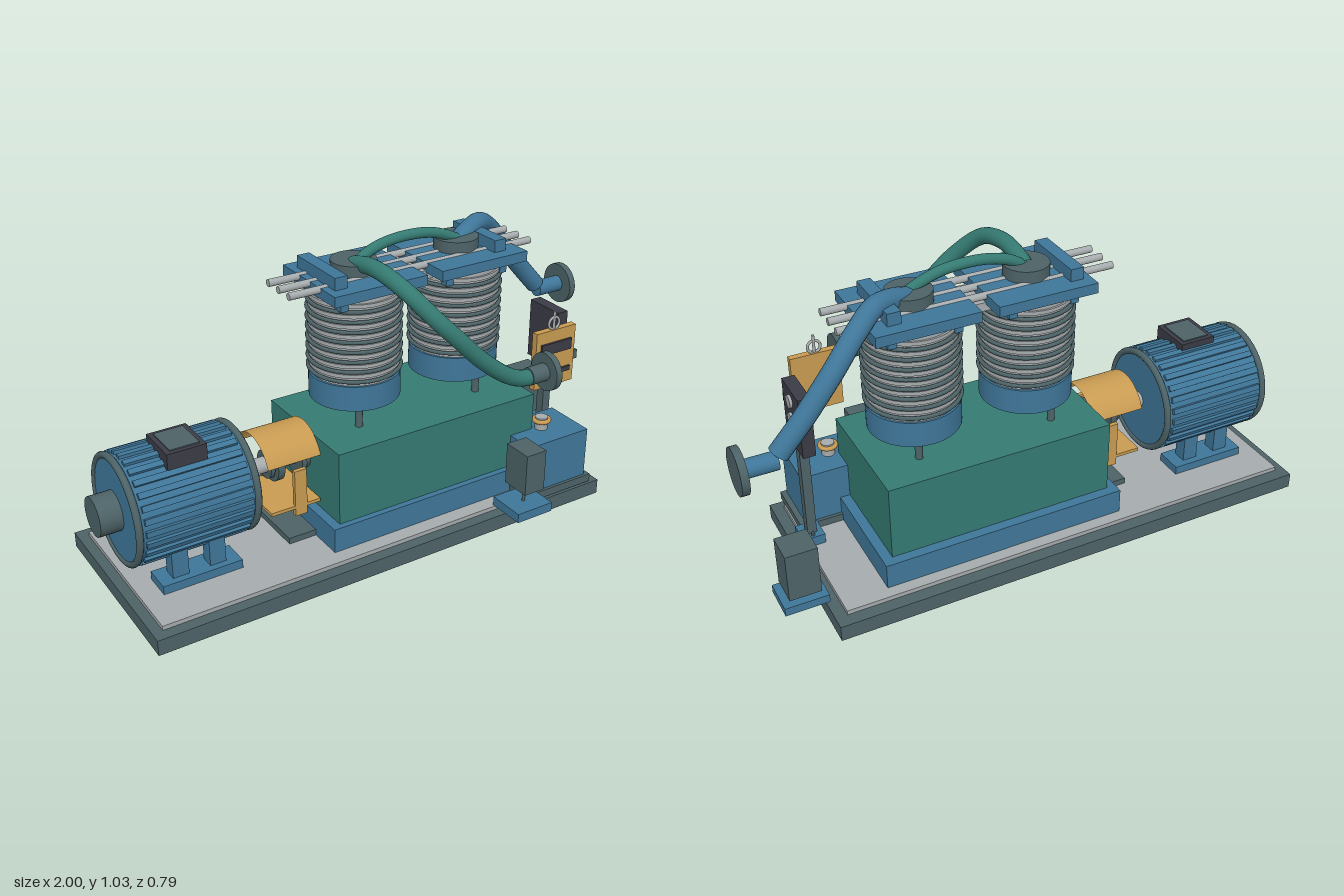
import * as THREE from 'three';

const mat = (name, color) => {
  const m = new THREE.MeshStandardMaterial({ color });
  m.name = name;
  return m;
};

export function createModel() {
  const blue = mat('machine blue', 0x3f7699);
  const teal = mat('teal green', 0x357a72);
  const slate = mat('slate', 0x4d6367);
  const grey = mat('light grey', 0xa6abad);
  const ochre = mat('ochre', 0xc89b52);
  const charcoal = mat('charcoal', 0x3a3b45);
  const ochreShell = mat('ochre guard', 0xc89b52);
  ochreShell.side = THREE.DoubleSide;

  const root = new THREE.Group();
  root.name = 'compressorUnit';
  const add = (name, geo, material, x = 0, y = 0, z = 0) => {
    const m = new THREE.Mesh(geo, material);
    m.name = name;
    m.position.set(x, y, z);
    root.add(m);
    return m;
  };
  // box given by its extents on each axis
  const box = (name, material, [x0, x1], [y0, y1], [z0, z1]) =>
    add(name, new THREE.BoxGeometry(x1 - x0, y1 - y0, z1 - z0), material,
      (x0 + x1) / 2, (y0 + y1) / 2, (z0 + z1) / 2);
  const upright = (name, material, r, x, z, y0, y1, seg = 32) =>
    add(name, new THREE.CylinderGeometry(r, r, y1 - y0, seg), material, x, (y0 + y1) / 2, z);
  const along = (name, material, r, x0, x1, y, z, seg = 32) =>
    add(name, new THREE.CylinderGeometry(r, r, x1 - x0, seg).rotateZ(Math.PI / 2), material, (x0 + x1) / 2, y, z);
  const pipe = (name, material, r, pts) => {
    const curve = new THREE.CatmullRomCurve3(pts.map(p => new THREE.Vector3(...p)), false, 'centripetal');
    return add(name, new THREE.TubeGeometry(curve, 64, r, 20), material);
  };

  const AX = -0.052; // z of the drive axis
  const AY = 0.318;  // y of the motor shaft

  // skid
  box('skidBase', slate, [-0.96, 0.78], [0, 0.055], [-0.395, 0.30]);
  box('deckPlate', grey, [-0.925, 0.74], [0.055, 0.07], [-0.35, 0.26]);

  // motor with cooling fins
  along('motorBody', blue, 0.18, -0.925, -0.51, AY, AX, 48);
  for (let i = 0; i < 28; i++) {
    const a = (i / 28) * Math.PI * 2;
    const fin = box('motorFin', blue, [-0.9, -0.535], [-0.012, 0.012], [-0.01, 0.01]);
    fin.position.set(-0.7175, AY + Math.cos(a) * 0.178, AX + Math.sin(a) * 0.178);
    fin.rotation.x = a;
  }
  for (const x of [-0.92, -0.515])
    add('motorRim', new THREE.TorusGeometry(0.179, 0.012, 10, 48).rotateY(Math.PI / 2), slate, x, AY, AX);
  along('fanHub', slate, 0.067, -1.0, -0.925, AY, AX);
  box('terminalBox', charcoal, [-0.785, -0.65], [0.45, 0.527], [-0.096, 0.06]);
  box('terminalLid', slate, [-0.768, -0.667], [0.527, 0.531], [-0.08, 0.044]);
  for (const z of [-0.17, 0.066]) {
    box('motorFoot', blue, [-0.855, -0.577], [0.07, 0.1], [z - 0.05, z + 0.05]);
    for (const x of [-0.782, -0.652])
      box('motorLeg', blue, [x - 0.028, x + 0.028], [0.1, 0.23], [z - 0.025, z + 0.025]);
  }

  // shaft, coupling and guard
  along('driveShaft', grey, 0.028, -0.52, -0.25, AY, AX, 24);
  for (const [x0, x1, r] of [[-0.40, -0.385, 0.05], [-0.38, -0.355, 0.065], [-0.29, -0.272, 0.065], [-0.268, -0.25, 0.05]])
    along('couplingFlange', slate, r, x0, x1, AY, AX);
  const guardArc = Math.PI * 0.76;
  add('couplingGuard', new THREE.CylinderGeometry(0.126, 0.126, 0.197, 32, 1, true, -guardArc / 2, guardArc)
    .rotateX(-Math.PI / 2).rotateY(Math.PI / 2), ochreShell, -0.347, AY, AX);
  box('guardPost', ochre, [-0.35, -0.305], [0.16, 0.33], [0.05, 0.066]);
  box('guardPost', ochre, [-0.35, -0.305], [0.16, 0.33], [-0.17, -0.154]);
  box('guardShelf', ochre, [-0.44, -0.255], [0.188, 0.2], [-0.17, 0.066]);
  box('guardFoot', slate, [-0.385, -0.283], [0.07, 0.092], [-0.18, 0.08]);

  // crankcase
  box('crankcasePlinth', blue, [-0.283, 0.585], [0.07, 0.158], [-0.308, 0.205]);
  box('crankcase', teal, [-0.25, 0.55], [0.158, 0.42], [-0.273, 0.183]);

  // two finned cylinders with heads
  for (const x of [-0.045, 0.362]) {
    for (const z of [AX - 0.1, AX + 0.1])
      upright('crossheadRod', slate, 0.013, x + (x < 0 ? -0.045 : 0.03), z, 0.42, 0.5, 16);
    upright('cylinderSkirt', blue, 0.156, x, AX, 0.498, 0.587, 48);
    upright('cylinderBarrel', grey, 0.148, x, AX, 0.587, 0.9, 48);
    for (let i = 0; i < 8; i++) {
      const y = 0.605 + i * 0.0352;
      add('coolingRing', new THREE.TorusGeometry(0.156, 0.007, 8, 48).rotateX(Math.PI / 2), slate, x, y, AX);
      upright('coolingBand', grey, 0.155, x, AX, y + 0.012, y + 0.025, 48);
    }
    for (const sx of [-1, 1]) for (const z of [AX - 0.11, AX + 0.11])
      box('headBracket', blue, [x + sx * 0.11 - 0.014, x + sx * 0.11 + 0.014], [0.857, 0.9], [z - 0.015, z + 0.015]);
    box('headPlate', blue, [x - 0.17, x + 0.178], [0.898, 0.934], [AX - 0.166, AX + 0.166]);
    upright('valveCap', slate, 0.077, x, AX, 0.934, 0.975, 40);
    const bar = x < 0 ? -0.164 : 0.46;
    box('clampBar', blue, [bar - 0.023, bar + 0.023], [0.934, 0.976], [AX - 0.12, AX + 0.12]);
  }
  box('bridgePiece', grey, [0.1, 0.22], [0.875, 0.905], [AX - 0.07, AX + 0.07]);
  for (const z of [-0.117, -0.05, 0.016]) along('tieRod', grey, 0.0125, -0.325, 0.625, 0.927, z, 16);

  // pipes with end flanges
  pipe('dischargePipe', teal, 0.028, [[-0.045, 0.955, -0.05], [-0.045, 0.975, 0.02], [-0.043, 0.98, 0.11],
    [-0.025, 0.95, 0.225], [0.035, 0.87, 0.3], [0.1, 0.8, 0.324], [0.2, 0.7, 0.328],
    [0.32, 0.61, 0.325], [0.385, 0.586, 0.323], [0.46, 0.586, 0.323]]);
  along('dischargeCollar', slate, 0.031, 0.4, 0.47, 0.587, 0.323);
  along('dischargeFlange', slate, 0.067, 0.467, 0.49, 0.587, 0.323, 40);
  pipe('linkPipe', teal, 0.018, [[-0.04, 0.96, -0.046], [0.01, 0.99, -0.046], [0.08, 1.01, -0.046],
    [0.16, 1.016, -0.046], [0.25, 1.008, -0.046], [0.32, 0.985, -0.046], [0.37, 0.96, -0.046]]);
  pipe('intakePipe', blue, 0.034, [[0.36, 0.945, -0.05], [0.43, 0.97, -0.08], [0.5, 0.976, -0.115],
    [0.58, 0.935, -0.165], [0.67, 0.85, -0.203], [0.78, 0.725, -0.218], [0.865, 0.63, -0.219]]);
  along('intakeStub', blue, 0.03, 0.87, 0.98, 0.61, -0.219);
  along('intakeFlange', slate, 0.076, 0.975, 1.0, 0.61, -0.219, 40);

  // side boxes on bolted feet
  box('rightFilterFoot', blue, [0.77, 0.918], [0.068, 0.097], [-0.282, -0.155]);
  box('rightFilterBox', slate, [0.79, 0.897], [0.112, 0.285], [-0.27, -0.165]);
  upright('footStud', slate, 0.006, 0.845, -0.218, 0.09, 0.115, 10);
  box('leftFilterFoot', blue, [0.338, 0.485], [0.07, 0.104], [0.25, 0.39]);
  box('leftFilterBox', slate, [0.37, 0.452], [0.164, 0.317], [0.27, 0.38]);
  upright('footStud', slate, 0.006, 0.411, 0.325, 0.1, 0.168, 10);

  // oil tank
  box('tankTray', slate, [0.445, 0.735], [0.067, 0.096], [0.085, 0.303]);
  box('oilTank', blue, [0.455, 0.715], [0.096, 0.282], [0.097, 0.292]);
  upright('fillerNeck', grey, 0.023, 0.582, 0.195, 0.282, 0.328, 24);
  add('fillerRing', new THREE.TorusGeometry(0.027, 0.008, 10, 32).rotateX(Math.PI / 2), ochre, 0.582, 0.316, 0.195);

  // control station on its post
  box('controlFoot', blue, [0.68, 0.757], [0.07, 0.105], [0, 0.085]);
  for (const z of [0.012, 0.073]) upright('footBolt', slate, 0.006, 0.718, z, 0.105, 0.115, 10);
  box('controlPost', slate, [0.7, 0.732], [0.105, 0.5], [0.025, 0.06]);
  box('controlBox', charcoal, [0.695, 0.738], [0.453, 0.67], [-0.035, 0.117]);
  for (const y of [0.627, 0.561, 0.475]) along('controlButton', grey, 0.022, 0.735, 0.747, y, 0.041, 24);

  // gauge panel hung from the control box
  box('panelArm', slate, [0.655, 0.715], [0.528, 0.561], [0.1, 0.205]);
  box('gaugePanel', ochre, [0.51, 0.68], [0.463, 0.675], [0.203, 0.227]);
  box('displaySlot', charcoal, [0.53, 0.66], [0.59, 0.63], [0.227, 0.235]);
  box('labelSlot', charcoal, [0.555, 0.66], [0.508, 0.525], [0.227, 0.235]);
  add('hangerRing', new THREE.TorusGeometry(0.022, 0.005, 8, 28), grey, 0.592, 0.695, 0.215);
  upright('hangerPin', grey, 0.005, 0.592, 0.215, 0.675, 0.737, 12);

  return root;
}
